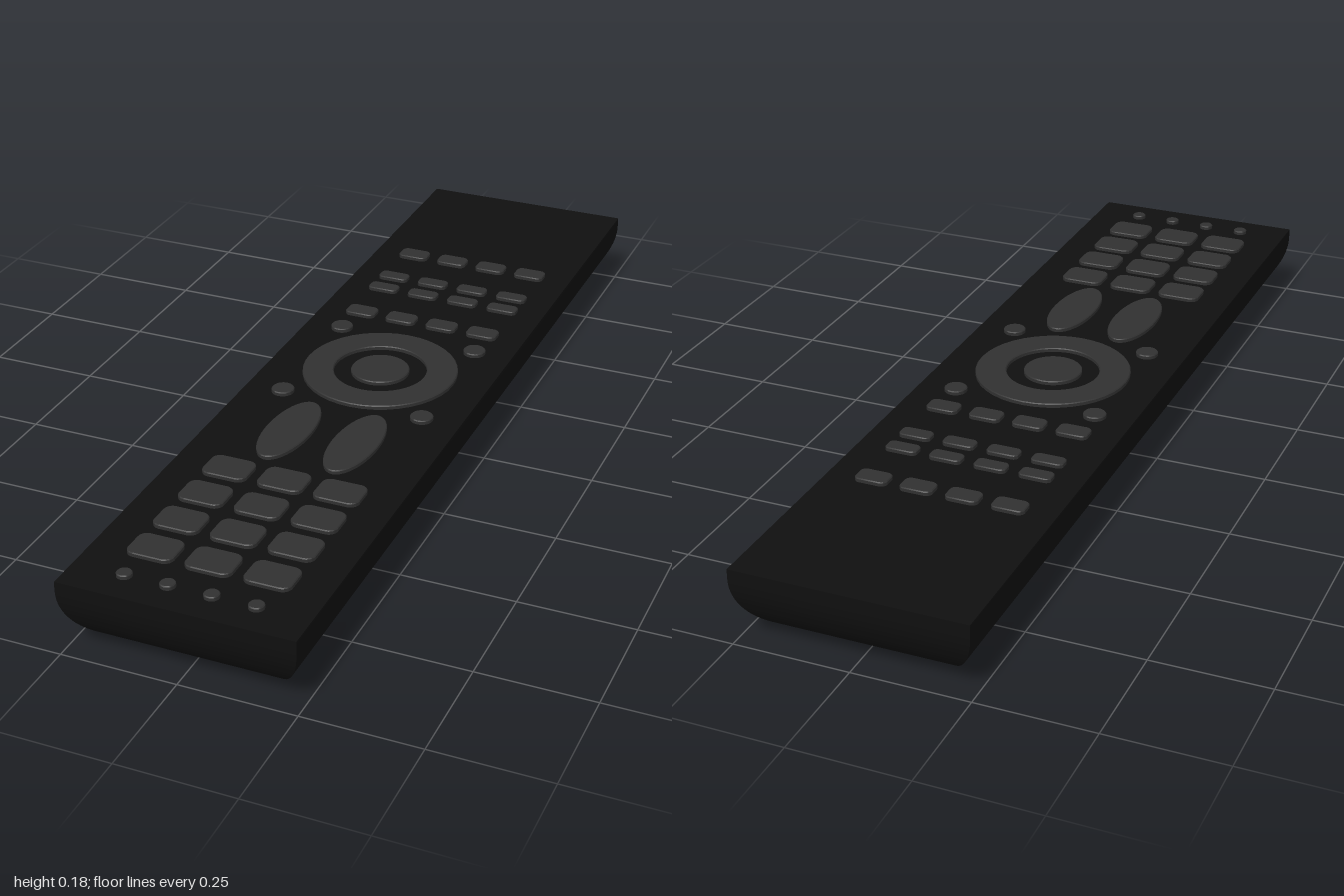
import * as THREE from 'three';
import { toCreasedNormals } from 'three/addons/utils/BufferGeometryUtils.js';

const HALF_W = 0.25, HALF_L = 1, TOP = 0.167, RADIUS = 0.145, BUTTON_TOP = 0.176;
const ARC_STEPS = 24;

// Half of a tray profile: rounded lower edge, then a short upright rim
function halfProfile(half) {
  const pts = [];
  for (let i = 0; i <= ARC_STEPS; i++) {
    const a = (i / ARC_STEPS) * Math.PI / 2;
    pts.push([half - RADIUS + RADIUS * Math.sin(a), RADIUS * (1 - Math.cos(a))]);
  }
  pts.push([half, TOP]);
  return pts;
}

// Full profile as [position, height] pairs, with optional points in the middle
function fullProfile(half, middle = []) {
  const right = halfProfile(half);
  const left = right.map(([p, y]) => [-p, y]).reverse();
  return [...left, ...middle, ...right];
}

// Finger groove across the underside: a shallow circular arc
function groovePoints() {
  const start = 0.205, end = 0.41, rise = 0.034;
  const mid = (start + end) / 2, c = (end - start) / 2;
  const r = (c * c + rise * rise) / (2 * rise), pts = [];
  for (let i = 0; i <= 20; i++) {
    const z = start + (end - start) * i / 20;
    pts.push([z, Math.max(0, Math.sqrt(r * r - (z - mid) ** 2) - (r - rise))]);
  }
  return pts;
}

// Tray shell: the higher of the cross profile and the long profile at each point
function shellGeometry() {
  const xs = fullProfile(HALF_W), zs = fullProfile(HALF_L, groovePoints());
  const pos = [], index = [], n = xs.length;
  for (const [z, yz] of zs) for (const [x, yx] of xs) pos.push(x, Math.max(yx, yz), z);
  for (let j = 0; j < zs.length - 1; j++) {
    for (let i = 0; i < n - 1; i++) {
      const a = j * n + i, b = a + 1, d = a + n, c = d + 1;
      // The diagonal follows the mitred corners
      const sameSign = (xs[i][0] + xs[i + 1][0]) * (zs[j][0] + zs[j + 1][0]) >= 0;
      if (sameSign) index.push(a, b, c, a, c, d);
      else index.push(a, b, d, b, c, d);
    }
  }
  const g = new THREE.BufferGeometry();
  g.setAttribute('position', new THREE.Float32BufferAttribute(pos, 3));
  g.setIndex(index);
  return toCreasedNormals(g, 0.4);
}

function roundedRect(w, h, r) {
  const s = new THREE.Shape(), x = w / 2, y = h / 2;
  s.absarc(x - r, y - r, r, 0, Math.PI / 2);
  s.absarc(-x + r, y - r, r, Math.PI / 2, Math.PI);
  s.absarc(-x + r, -y + r, r, Math.PI, Math.PI * 1.5);
  s.absarc(x - r, -y + r, r, Math.PI * 1.5, Math.PI * 2);
  s.closePath();
  return s;
}

function ellipse(rx, ry) {
  return new THREE.Shape().absellipse(0, 0, rx, ry, 0, Math.PI * 2);
}

// Flat raised button, with a fine bevel, standing on the top face
function buttonGeometry(shape) {
  const bevel = 0.002;
  const g = new THREE.ExtrudeGeometry(shape, {
    depth: BUTTON_TOP - TOP - bevel, curveSegments: 20,
    bevelEnabled: true, bevelThickness: bevel, bevelSize: bevel, bevelOffset: -bevel, bevelSegments: 1,
  });
  g.rotateX(-Math.PI / 2);
  return toCreasedNormals(g, 0.5);
}

export function createModel() {
  const model = new THREE.Group();
  const bodyMat = new THREE.MeshStandardMaterial({ color: 0x0f0f0f });
  const buttonMat = new THREE.MeshStandardMaterial({ color: 0x303030 });

  // Body
  const shell = new THREE.Mesh(shellGeometry(), bodyMat);
  shell.name = 'bodyShell';
  const face = new THREE.Mesh(new THREE.PlaneGeometry(HALF_W * 2, HALF_L * 2), bodyMat);
  face.name = 'topFace';
  face.rotation.x = -Math.PI / 2;
  face.position.y = TOP;
  model.add(shell, face);

  // One shape repeated at every x and z
  function addButtons(name, shape, xs, zs) {
    const group = new THREE.Group();
    group.name = name;
    const geometry = buttonGeometry(shape);
    for (const z of zs) for (const x of xs) {
      const button = new THREE.Mesh(geometry, buttonMat);
      button.name = name.replace(/s$/, '');
      button.position.set(x, TOP, z);
      group.add(button);
    }
    model.add(group);
  }

  // Small function keys, in four rows
  const four = [-0.15, -0.05, 0.05, 0.15];
  addButtons('functionKeys', roundedRect(0.072, 0.046, 0.014), four, [-0.587, -0.252]);
  addButtons('slimKeys', roundedRect(0.072, 0.036, 0.012), four, [-0.453, -0.388]);

  // Navigation ring, centre key and the round keys at its corners
  const ring = ellipse(0.173, 0.173);
  ring.holes.push(new THREE.Path().absarc(0, 0, 0.104, 0, Math.PI * 2, true));
  addButtons('navigationRing', ring, [0], [0]);
  addButtons('centreKey', ellipse(0.065, 0.065), [0], [0]);
  addButtons('cornerKeys', ellipse(0.025, 0.025), [-0.163, 0.163], [-0.163, 0.163]);

  // Long oval rocker keys
  addButtons('rockerKeys', ellipse(0.05, 0.124), [-0.076, 0.076], [0.32]);

  // Number pad and the row of dots under it
  addButtons('numberKeys', roundedRect(0.1, 0.077, 0.02), [-0.124, 0, 0.124], [0.51, 0.617, 0.723, 0.83]);
  addButtons('dotKeys', ellipse(0.016, 0.016), [-0.138, -0.046, 0.046, 0.138], [0.93]);

  return model;
}
